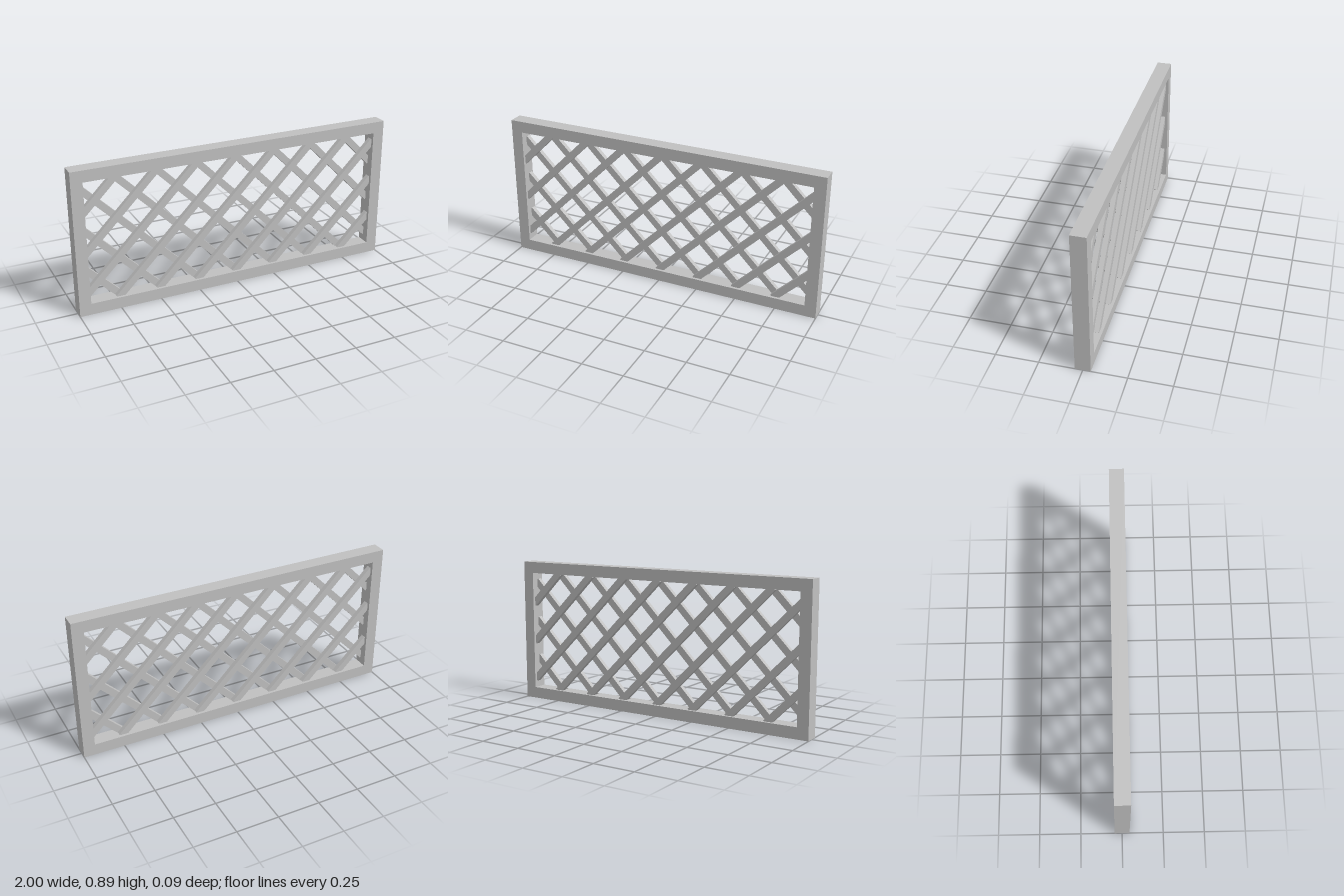
import * as THREE from 'three';

const W = 2, H = 0.89, D = 0.09;          // outer frame
const RAIL = 0.07;                        // frame member width
const PITCH = 0.248, SLAT_W = 0.042, SLAT_D = 0.028;

export function createModel() {
  const group = new THREE.Group();
  const grey = new THREE.MeshStandardMaterial({ color: 0xc0c0c0 });
  grey.name = 'light grey';

  // Rectangular frame with one opening
  const outline = new THREE.Shape([
    new THREE.Vector2(-W / 2, 0), new THREE.Vector2(W / 2, 0),
    new THREE.Vector2(W / 2, H), new THREE.Vector2(-W / 2, H),
  ]);
  const ix = W / 2 - RAIL, y0 = RAIL, y1 = H - RAIL;
  outline.holes.push(new THREE.Path([
    new THREE.Vector2(-ix, y0), new THREE.Vector2(-ix, y1),
    new THREE.Vector2(ix, y1), new THREE.Vector2(ix, y0),
  ]));
  const frameGeo = new THREE.ExtrudeGeometry(outline, { depth: D, bevelEnabled: false });
  frameGeo.translate(0, 0, -D / 2);
  const frame = new THREE.Mesh(frameGeo, grey);
  frame.name = 'frame';
  group.add(frame);

  // Two layers of diagonal slats: rising to the right in front, mirrored behind
  const midY = H / 2, halfY = (y1 - y0) / 2;
  for (const dir of [1, -1]) {
    const layer = new THREE.Group();
    layer.name = dir > 0 ? 'frontSlats' : 'backSlats';
    for (let k = -4.5; k <= 4.5; k++) {
      const c = k * PITCH;                 // x where the slat crosses mid height
      const a = Math.max(-halfY, -ix - c), b = Math.min(halfY, ix - c);
      const length = (b - a) * Math.SQRT2 + 0.028;   // ends housed in the frame
      const mid = (a + b) / 2;
      const slat = new THREE.Mesh(new THREE.BoxGeometry(length, SLAT_W, SLAT_D), grey);
      slat.position.set(dir * (c + mid), midY + mid, dir * SLAT_D / 2);
      slat.rotation.z = dir * Math.PI / 4;
      slat.name = 'slat';
      layer.add(slat);
    }
    group.add(layer);
  }
  return group;
}
